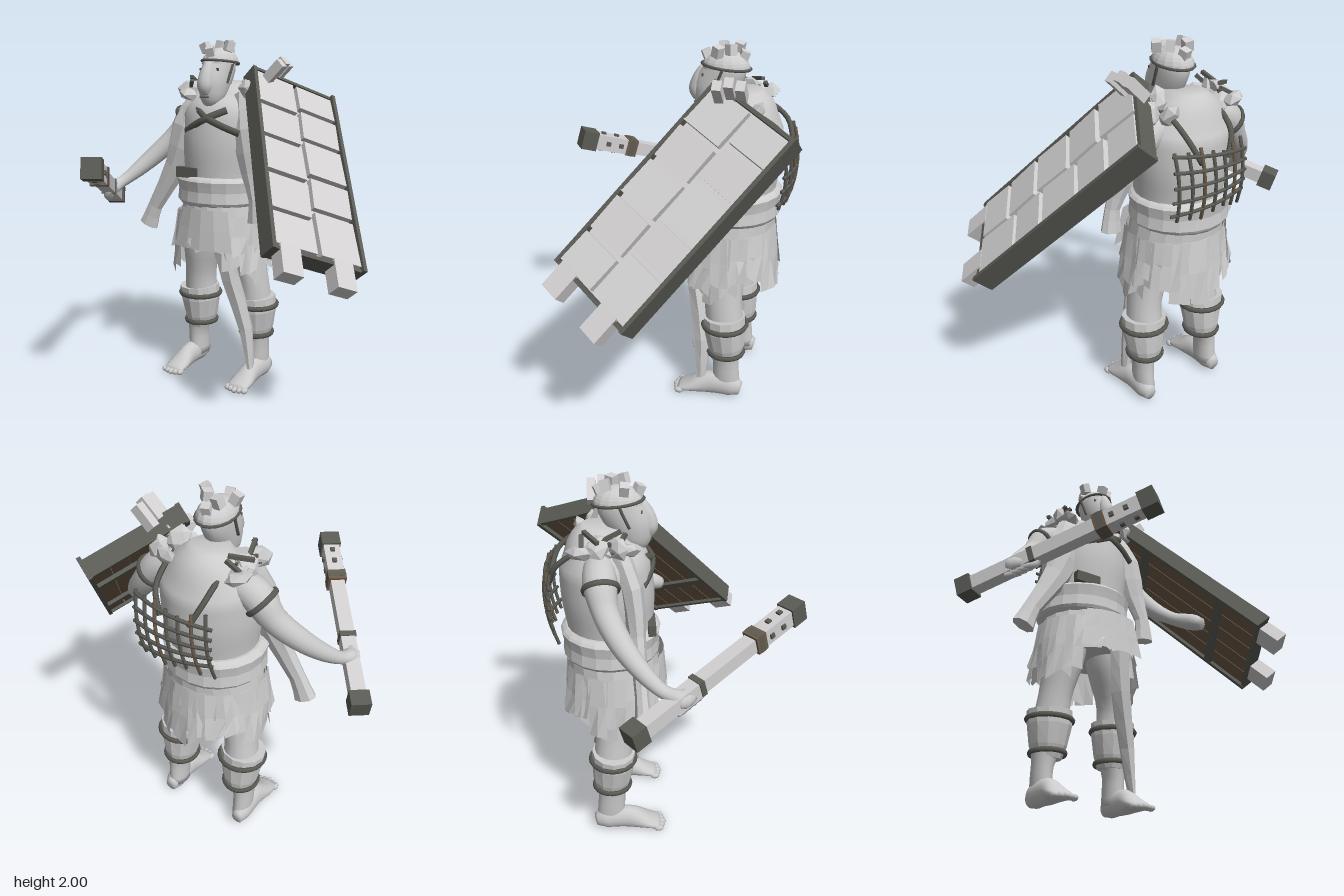
import * as THREE from 'three';

const mat = (name, color, side = THREE.FrontSide, flatShading = false) => {
  const m = new THREE.MeshStandardMaterial({ color, side, flatShading });
  m.name = name;
  return m;
};
const V = (x, y, z) => new THREE.Vector3(x, y, z);

export function createModel() {
  const root = new THREE.Group();
  const skin = mat('pale skin', 0xcacaca);
  const cloth = mat('pale cloth', 0xcccccc, THREE.DoubleSide, true);
  const wood = mat('pale wood', 0xd2d0d0);
  const dark = mat('dark leather', 0x5c5c56);
  const brown = mat('brown wood', 0x6e5c4a);
  let seed = 7;
  const rnd = () => (seed = (seed * 16807) % 2147483647) / 2147483647;

  const add = (name, geo, material, parent = root, pos = [0, 0, 0]) => {
    const m = new THREE.Mesh(geo, material);
    m.name = name;
    m.position.set(...pos);
    parent.add(m);
    return m;
  };
  const box = (name, material, size, pos, parent = root) =>
    add(name, new THREE.BoxGeometry(...size), material, parent, pos);

  // Sweeps an ellipse along points of [x, y, z, half width, half depth]
  const sweep = (name, material, pts, { n = 16, seg = 4, ref = V(0, 0, 1) } = {}) => {
    const path = new THREE.CatmullRomCurve3(pts.map(p => V(p[0], p[1], p[2])));
    const radii = new THREE.CatmullRomCurve3(pts.map(p => V(p[3], p[4] ?? p[3], 0)));
    const rows = (pts.length - 1) * seg, pos = [], idx = [];
    for (let j = 0; j <= rows; j++) {
      const c = path.getPoint(j / rows), r = radii.getPoint(j / rows);
      const T = path.getTangent(j / rows);
      const S = T.clone().cross(ref).normalize(), O = T.clone().cross(S);
      for (let i = 0; i < n; i++) {
        const a = (i / n) * Math.PI * 2;
        pos.push(...c.clone().addScaledVector(S, r.x * Math.cos(a)).addScaledVector(O, r.y * Math.sin(a)).toArray());
        if (j === rows) continue;
        const p = j * n + i, q = j * n + (i + 1) % n;
        idx.push(p, q, p + n, q, q + n, p + n);
      }
    }
    const base = rows * n, c0 = pos.length / 3;
    pos.push(...pts[0].slice(0, 3), ...pts.at(-1).slice(0, 3));
    for (let i = 0; i < n; i++) {
      const k = (i + 1) % n;
      idx.push(c0, k, i, c0 + 1, base + i, base + k);
    }
    const g = new THREE.BufferGeometry();
    g.setAttribute('position', new THREE.Float32BufferAttribute(pos, 3));
    g.setIndex(idx);
    g.computeVertexNormals();
    return add(name, g, material);
  };
  // Oval ring lying across a limb
  const ring = (name, pos, dir, rx, ry, tube = 0.015) => {
    const m = add(name, new THREE.TorusGeometry(1, 0.1, 6, 20), dark, root, pos);
    m.scale.set(rx, ry, tube * 10);
    m.quaternion.setFromUnitVectors(V(0, 0, 1), V(...dir).normalize());
  };

  // Torso and thick belt
  sweep('torso', skin, [[-0.12, 1.02, -0.31, 0.23, 0.22], [-0.12, 1.22, -0.31, 0.235, 0.225], [-0.12, 1.42, -0.32, 0.26, 0.24],
    [-0.12, 1.57, -0.33, 0.26, 0.23], [-0.12, 1.68, -0.34, 0.19, 0.17], [-0.12, 1.76, -0.33, 0.09, 0.1]], { n: 24 });
  sweep('belt', cloth, [[-0.13, 1.06, -0.31, 0.24, 0.235], [-0.13, 1.09, -0.31, 0.272, 0.255], [-0.13, 1.15, -0.31, 0.265, 0.25],
    [-0.13, 1.21, -0.31, 0.275, 0.262], [-0.13, 1.235, -0.31, 0.24, 0.235]], { n: 20, seg: 2 });
  box('beltPouch', dark, [0.15, 0.06, 0.04], [-0.23, 1.255, -0.1]);

  // Head with a long face and studded cap
  sweep('head', skin, [[-0.11, 1.64, -0.2, 0.03, 0.04], [-0.11, 1.68, -0.18, 0.065, 0.085], [-0.11, 1.76, -0.19, 0.078, 0.11],
    [-0.11, 1.85, -0.24, 0.08, 0.115], [-0.11, 1.92, -0.25, 0.065, 0.09], [-0.11, 1.945, -0.25, 0.02, 0.03]]);
  sweep('nose', skin, [[-0.11, 1.87, -0.14, 0.025], [-0.11, 1.81, -0.115, 0.04], [-0.11, 1.75, -0.1, 0.045], [-0.11, 1.7, -0.11, 0.03]], { n: 10 });
  box('mouth', dark, [0.06, 0.008, 0.008], [-0.11, 1.685, -0.093]);
  const cap = add('cap', new THREE.SphereGeometry(1, 16, 8, 0, Math.PI * 2, 0, Math.PI / 2), cloth, root, [-0.11, 1.865, -0.25]);
  cap.scale.set(0.095, 0.09, 0.125);
  ring('capBand', [-0.11, 1.875, -0.25], [0, 1, -0.1], 0.093, 0.123, 0.008);
  for (const s of [-1, 1]) {
    box('eye', dark, [0.025, 0.014, 0.008], [-0.11 + s * 0.05, 1.835, -0.139]);
    sweep('cheekStrap', dark, [[-0.11 + s * 0.09, 1.88, -0.25, 0.008], [-0.11 + s * 0.086, 1.83, -0.23, 0.008], [-0.11 + s * 0.08, 1.76, -0.2, 0.008]], { n: 6, seg: 2 });
  }
  [[-0.19, 1.955, -0.22], [-0.03, 1.96, -0.22], [-0.11, 1.93, -0.15], [-0.15, 1.965, -0.31], [-0.07, 1.965, -0.28], [-0.11, 1.93, -0.34]].forEach((p, i) => {
    box('capStud', wood, [0.045, 0.055, 0.045], p).rotation.set((p[2] + 0.25) * 4, i, -(p[0] + 0.11) * 5);
  });

  // Legs, feet, toes and shin guards
  for (const [hip, knee, ankle, foot] of [[-0.23, -0.29, -0.33, -0.34], [0.0, 0.09, 0.115, 0.125]]) {
    sweep('leg', skin, [[hip, 1.08, -0.31, 0.12, 0.15], [hip * 0.6 + knee * 0.4, 0.85, -0.29, 0.115, 0.14], [knee, 0.6, -0.31, 0.088, 0.105],
      [knee * 0.7 + ankle * 0.3, 0.42, -0.33, 0.1, 0.105], [ankle, 0.22, -0.34, 0.056, 0.075], [ankle, 0.06, -0.35, 0.05, 0.08]]);
    sweep('foot', skin, [[foot, 0.055, -0.435, 0.03, 0.04], [foot, 0.07, -0.37, 0.052, 0.068], [foot, 0.07, -0.25, 0.052, 0.07],
      [foot, 0.04, -0.14, 0.068, 0.038], [foot, 0.02, -0.07, 0.064, 0.018]], { ref: V(0, 1, 0) });
    for (let i = 0; i < 5; i++) {
      add('toe', new THREE.SphereGeometry(0.018, 8, 6), skin, root, [foot + (i - 2) * 0.028, 0.018, -0.062 - Math.abs(i - 2) * 0.008]).scale.z = 1.6;
    }
    const mid = knee * 0.6 + ankle * 0.4;
    sweep('shinGuard', cloth, [[mid, 0.26, -0.34, 0.075, 0.085], [mid, 0.33, -0.335, 0.1, 0.105], [mid, 0.44, -0.325, 0.122, 0.118], [mid - 0.005, 0.52, -0.32, 0.125, 0.118]], { n: 12, seg: 1 });
    ring('upperShinStrap', [mid, 0.47, -0.325], [0, 1, 0.02], 0.126, 0.123);
    ring('lowerShinStrap', [mid, 0.29, -0.335], [0, 1, 0], 0.096, 0.102);
  }

  // Ragged skirt in two layers of torn strips, with a front panel
  sweep('skirtTop', cloth, [[-0.12, 0.87, -0.3, 0.28, 0.25], [-0.12, 1.0, -0.3, 0.255, 0.24], [-0.12, 1.1, -0.31, 0.24, 0.235]], { n: 18, seg: 1 });
  for (let layer = 0; layer < 2; layer++) {
    for (let i = 0; i < 18; i++) {
      const a = ((i + layer * 0.5) / 18) * Math.PI * 2;
      const len = Math.cos(a) > 0.8 ? 0.17 + rnd() * 0.03 : 0.22 + rnd() * 0.15;
      const g = new THREE.PlaneGeometry(0.11, len, 2, 2);
      const p = g.attributes.position;
      for (let k = 0; k < p.count; k++) {
        const down = 0.5 - p.getY(k) / len;
        p.setXYZ(k, p.getX(k) * (1 - 0.25 * down * rnd()), p.getY(k) - len / 2 + (down > 0.9 ? (rnd() - 0.5) * 0.06 : 0), down * (0.015 + rnd() * 0.035));
      }
      g.computeVertexNormals();
      const r = 1 + layer * 0.03;
      add('skirtStrip', g, cloth, root, [-0.12 + Math.sin(a) * 0.265 * r, 1.02, -0.3 + Math.cos(a) * 0.238 * r]).rotation.y = a;
    }
  }
  const panel = new THREE.PlaneGeometry(0.36, 0.23, 4, 2);
  const pp = panel.attributes.position;
  for (let k = 0; k < pp.count; k++) {
    const x = pp.getX(k), down = 0.5 - pp.getY(k) / 0.23;
    pp.setXYZ(k, x * (0.85 + 0.25 * down), pp.getY(k), down * 0.02 - x * x * 1.2);
  }
  panel.computeVertexNormals();
  add('frontPanel', panel, cloth, root, [-0.09, 0.945, -0.03]);
  sweep('loinStrip', cloth, [[0.0, 0.88, -0.1, 0.07, 0.04], [0.035, 0.65, -0.15, 0.06, 0.055], [0.11, 0.35, -0.2, 0.04, 0.05], [0.15, 0.06, -0.2, 0.01, 0.025]], { n: 6, seg: 2 });

  // Arms with bands and hands
  sweep('rightArm', skin, [[-0.27, 1.62, -0.35, 0.075], [-0.38, 1.575, -0.35, 0.083], [-0.465, 1.46, -0.33, 0.066], [-0.57, 1.34, -0.26, 0.058],
    [-0.66, 1.23, -0.16, 0.045], [-0.715, 1.16, -0.07, 0.034], [-0.735, 1.13, 0.01, 0.052, 0.045], [-0.7, 1.12, 0.07, 0.03]]);
  sweep('leftArm', skin, [[0.04, 1.62, -0.36, 0.075], [0.15, 1.57, -0.37, 0.083], [0.25, 1.45, -0.37, 0.066], [0.35, 1.33, -0.31, 0.056],
    [0.44, 1.22, -0.18, 0.04], [0.5, 1.17, -0.07, 0.05], [0.53, 1.14, -0.01, 0.035]]);
  ring('rightArmBand', [-0.41, 1.545, -0.345], [-1, -0.9, 0.1], 0.087, 0.087);
  ring('leftArmBand', [0.19, 1.53, -0.375], [0.9, -1, 0], 0.085, 0.085);
  for (let i = 0; i < 4; i++) {
    const x = i * 0.019, y = i * 0.01, z = i * 0.026;
    sweep('finger', skin, [[-0.77 + x, 1.07 + y, -0.01 + z, 0.018], [-0.72 + x, 1.08 + y, 0.04 + z, 0.02], [-0.7 + x, 1.15 + y, 0.02 + z, 0.014]], { n: 7, seg: 2 });
  }

  // Wide hanging sleeves and shoulder rags
  sweep('rightSleeve', cloth, [[-0.25, 1.71, -0.27, 0.07, 0.05], [-0.3, 1.5, -0.2, 0.115, 0.06], [-0.38, 1.27, -0.18, 0.08, 0.045], [-0.53, 1.02, -0.165, 0.05, 0.035], [-0.58, 0.9, -0.16, 0.065, 0.045]], { n: 8, seg: 2 });
  sweep('leftSleeve', cloth, [[0.04, 1.7, -0.27, 0.06, 0.05], [0.1, 1.5, -0.2, 0.095, 0.06], [0.15, 1.27, -0.18, 0.07, 0.045], [0.19, 1.13, -0.16, 0.045, 0.035], [0.2, 1.0, -0.16, 0.06, 0.045]], { n: 8, seg: 2 });
  for (const s of [-1, 1]) {
    for (let i = 0; i < 6; i++) {
      const m = add('shoulderRag', new THREE.IcosahedronGeometry(0.065, 0), cloth, root, [-0.12 + s * (0.15 + rnd() * 0.1), 1.68 + rnd() * 0.07, -0.44 + i * 0.045]);
      m.scale.set(1.1, 0.55, 0.9);
      m.rotation.set(rnd() * 2, rnd() * 3, s * 0.8);
    }
    if (s < 0) for (let i = 0; i < 5; i++) {
      box('shoulderSpike', dark, [0.12, 0.018, 0.02], [-0.32, 1.735 + (i % 2) * 0.035, -0.43 + i * 0.045]).rotation.set(0, i * 0.6, 0.5 - i * 0.3);
    }
    // Straps behind the shoulders and across the chest
    const x = -0.1;
    sweep('shoulderStrap', dark, [[x + s * 0.15, 1.69, -0.36, 0.014], [x + s * 0.145, 1.67, -0.45, 0.014], [x + s * 0.13, 1.59, -0.565, 0.014], [x + s * 0.08, 1.48, -0.61, 0.014]], { n: 6, ref: V(1, 0, 0) });
    sweep('chestStrap', dark, [-0.18, -0.09, 0, 0.1].map(d => [-0.09 - s * d, 1.57 + d * 0.45, -0.335 + 0.25 * Math.sqrt(1 - (d / 0.29) ** 2) - Math.max(0, d) * 0.35, 0.02, 0.014]), { n: 6 });
  }

  // Woven carrier on the back
  const weave = (x, y, r) => [x, y, -0.645 + 0.8 * (x + 0.08) ** 2 + 0.9 * (y - 1.4) ** 2, r];
  const steps = [-1, -0.5, 0, 0.5, 1];
  for (let i = 0; i < 7; i++) {
    const x = -0.28 + i * 0.066, half = 0.15 + rnd() * 0.04;
    sweep('carrierUpright', i % 3 === 1 ? brown : dark, steps.map(t => weave(x + t * 0.015, 1.38 + t * half, 0.009)), { n: 6, seg: 2, ref: V(1, 0, 0) });
  }
  for (let i = 0; i < 5; i++) {
    sweep('carrierCross', dark, steps.map(t => weave(-0.08 + t * 0.22, 1.26 + i * 0.065 + t * (i - 2) * 0.012, 0.01)), { n: 6, seg: 2 });
  }

  // Heavy club: local z runs from butt to head
  const club = new THREE.Group();
  club.name = 'club';
  const butt = V(-0.91, 1.035, -0.24), tip = V(-0.28, 1.36, 0.64);
  club.position.copy(butt);
  club.lookAt(tip);
  root.add(club);
  const L = butt.distanceTo(tip);
  box('clubShaft', wood, [0.075, 0.075, L - 0.06], [0, 0, L / 2], club);
  box('clubHead', wood, [0.088, 0.09, 0.27], [0, 0, L - 0.2], club);
  box('clubButt', dark, [0.1, 0.1, 0.085], [0, 0, 0.0425], club);
  box('clubTip', dark, [0.105, 0.11, 0.09], [0, 0, L - 0.045], club);
  box('gripBand', dark, [0.085, 0.085, 0.03], [0, 0, 0.43], club);
  box('headBand', dark, [0.1, 0.102, 0.03], [0, 0, L - 0.31], club);
  for (const s of [-1, 1]) box('brownBand', brown, [0.098, 0.1, 0.018], [0, 0, L - 0.31 + s * 0.023], club);
  for (const z of [L - 0.24, L - 0.16]) {
    box('clubStud', dark, [0.11, 0.025, 0.025], [0, 0, z], club);
    box('clubStud', dark, [0.025, 0.112, 0.025], [0, 0, z + 0.03], club);
  }

  // Slab shield: local y up its length, local z outward
  const shield = new THREE.Group();
  shield.name = 'shield';
  const across = V(0.28, -0.2, -0.43), up = V(-0.53, 0.81, -0.67).normalize();
  const out = across.clone().cross(up).normalize();
  shield.quaternion.setFromRotationMatrix(new THREE.Matrix4().makeBasis(up.clone().cross(out), up, out));
  shield.position.set(0.517, 1.36, -0.125);
  root.add(shield);
  const W = 0.55, H = 1.18;
  box('shieldCore', wood, [W - 0.03, H - 0.03, 0.035], [0, 0, -0.05], shield);
  for (const s of [-1, 1]) {
    box('sideFrame', dark, [0.022, H, s < 0 ? 0.105 : 0.12], [s * (W / 2 - 0.011), 0, s < 0 ? -0.05 : -0.043], shield);
    box('endFrame', dark, [W, 0.02, 0.095], [0, s * (H / 2 - 0.01), -0.05], shield);
    box('post', wood, [0.115, 0.16, 0.08], [s < 0 ? -0.175 : 0.14, -H / 2 - 0.045, -0.035], shield);
    box('backBar', dark, [W - 0.04, 0.05, 0.025], [0, s * 0.3, -0.09], shield);
  }
  for (let i = 0; i < 5; i++) box('backPlank', brown, [0.098, H - 0.05, 0.02], [(i - 2) * 0.103, 0, -0.072], shield);
  // Wooden pegs above the left shoulder
  for (let i = 0; i < 3; i++) box('shoulderPeg', wood, [0.055, 0.13, 0.045], [0.225 - i * 0.01, 1.825 + (i % 2) * 0.015, -0.28 - i * 0.055]).rotation.z = -0.8;
  // Staggered tiles on the face
  const columns = [[-0.258, -0.012, [-0.575, -0.36, -0.13, 0.11, 0.33, 0.575]], [0.012, 0.255, [-0.575, -0.29, -0.08, 0.17, 0.38, 0.575]]];
  for (const [x0, x1, cuts] of columns) {
    for (let i = 0; i < 5; i++) {
      const h = cuts[i + 1] - cuts[i] - 0.028;
      box('tile', wood, [x1 - x0, h, 0.035], [(x0 + x1) / 2, (cuts[i] + cuts[i + 1]) / 2, -0.018], shield).rotation.x = (i % 2 ? 1 : -1) * 0.03;
    }
  }
  return root;
}
